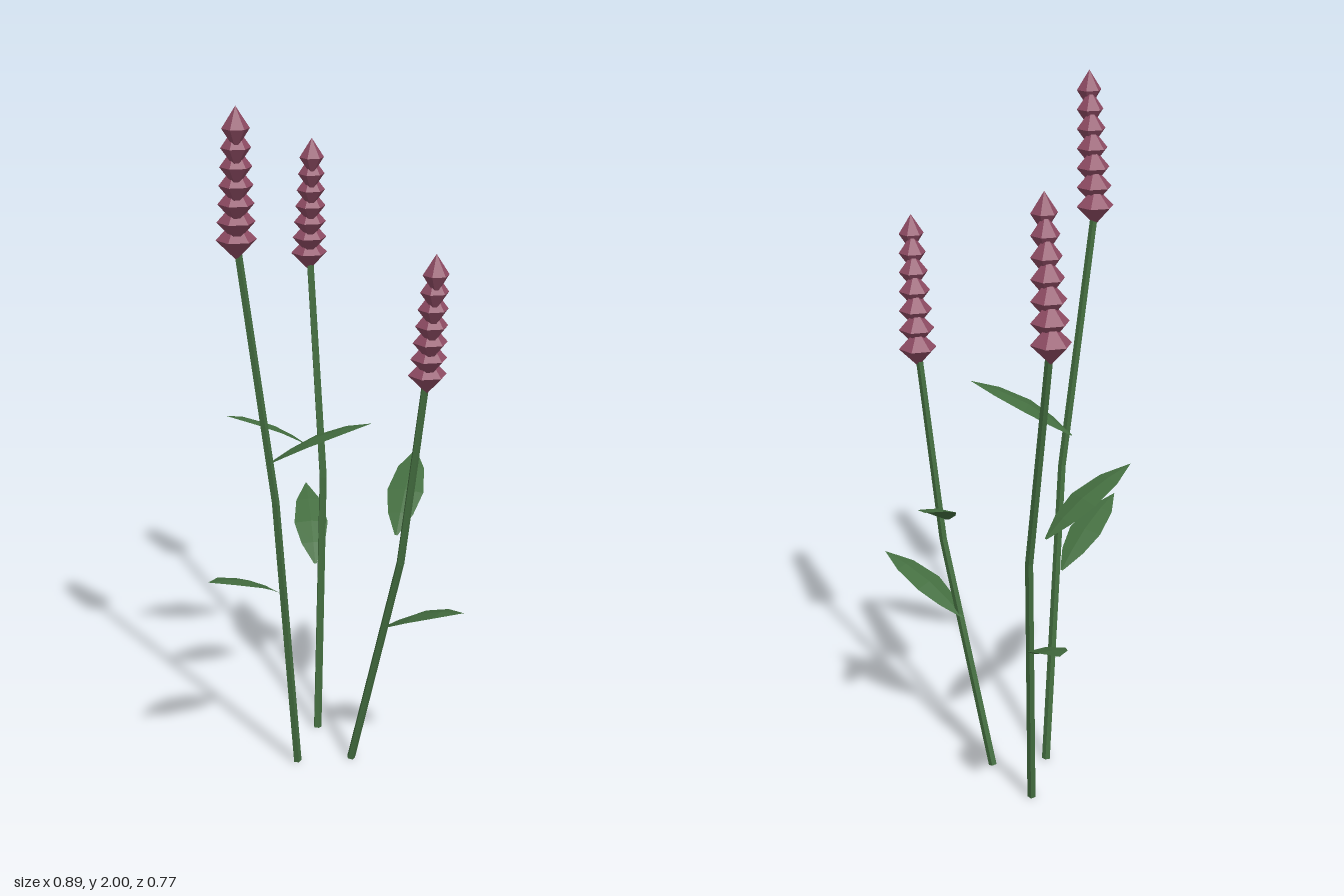
import * as THREE from 'three';

const green = new THREE.MeshStandardMaterial({ color: 0x446e40, flatShading: true });
const leafGreen = new THREE.MeshStandardMaterial({ color: 0x446e40, flatShading: true, side: THREE.DoubleSide });
const mauve = new THREE.MeshStandardMaterial({ color: 0x8f4c64, flatShading: true });
const UP = new THREE.Vector3(0, 1, 0);
const V = (p) => new THREE.Vector3(...p);

// Each plant: stem points, first and last blossom centres, and leaves as [base, tip]
const PLANTS = [
  {
    stem: [[-0.02, 0.003, 0.015], [0.045, 0.9, 0.145], [0.026, 1.63, 0.249]],
    flower: [[0.026, 1.645, 0.25], [0.11, 1.944, 0.311]],
    leaves: [[[0.012, 1.0, 0.15], [0.25, 1.148, -0.02]], [[0, 0.595, 0.098], [0.055, 0.735, 0.385]]],
  },
  {
    stem: [[-0.13, 0.003, -0.157], [-0.2, 0.8, -0.235], [-0.328, 1.44, -0.29]],
    flower: [[-0.331, 1.456, -0.29], [-0.247, 1.755, -0.229]],
    leaves: [[[-0.205, 0.52, -0.21], [-0.445, 0.67, -0.373]], [[-0.25, 0.885, -0.225], [-0.3, 1.033, 0.05]]],
  },
  {
    stem: [[0.07, 0.003, -0.12], [0.24, 0.7, -0.145], [0.303, 1.26, -0.165]],
    flower: [[0.306, 1.268, -0.165], [0.39, 1.567, -0.104]],
    leaves: [[[0.21, 0.772, -0.155], [0.038, 0.922, -0.39]], [[0.168, 0.468, -0.14], [0.445, 0.607, -0.195]]],
  },
];

// Straight tapered stem section between two points
function stemSection(a, b, r0, r1) {
  const d = b.clone().sub(a);
  const mesh = new THREE.Mesh(new THREE.CylinderGeometry(r1, r0, d.length(), 5), green);
  mesh.position.copy(a).addScaledVector(d, 0.5);
  mesh.quaternion.setFromUnitVectors(UP, d.normalize());
  mesh.name = 'stemSection';
  return mesh;
}

// Arched leaf blade with a slightly raised midrib
function leaf(base, tip) {
  const rows = [[0, 0.004], [0.22, 0.036], [0.46, 0.052], [0.75, 0.038], [1, 0]];
  const d = tip.clone().sub(base);
  const side = d.clone().cross(UP).normalize();
  const normal = side.clone().cross(d).normalize();
  const pos = [], index = [];
  rows.forEach(([t, w], i) => {
    for (const k of [-1, 0, 1]) {
      const lift = 0.022 * Math.sin(Math.PI * t) - (k ? w * 0.14 : 0);
      const p = base.clone().addScaledVector(d, t).addScaledVector(side, k * w).addScaledVector(normal, lift);
      pos.push(p.x, p.y, p.z);
    }
    if (i === 0) return;
    for (const k of [0, 1]) {
      const a = (i - 1) * 3 + k, b = a + 3;
      index.push(a, a + 1, b, a + 1, b + 1, b);
    }
  });
  const geo = new THREE.BufferGeometry();
  geo.setAttribute('position', new THREE.Float32BufferAttribute(pos, 3));
  geo.setIndex(index);
  geo.computeVertexNormals();
  const mesh = new THREE.Mesh(geo, leafGreen);
  mesh.name = 'leaf';
  return mesh;
}

// Spike of stacked six-sided blossoms that shrink towards the tip
function flowerSpike(from, to) {
  const spike = new THREE.Group();
  spike.name = 'flowerSpike';
  const count = 7;
  for (let i = 0; i < count; i++) {
    const t = i / (count - 1);
    const blossom = new THREE.Mesh(new THREE.SphereGeometry(1, 6, 2), mauve);
    const r = THREE.MathUtils.lerp(0.053, 0.035, t);
    blossom.scale.set(r, 0.054, r);
    blossom.position.lerpVectors(from, to, t);
    blossom.name = 'blossom';
    spike.add(blossom);
  }
  return spike;
}

export function createModel() {
  const model = new THREE.Group();
  model.name = 'flowerStems';
  for (const { stem, flower, leaves } of PLANTS) {
    const plant = new THREE.Group();
    plant.name = 'plant';
    const [a, b, c] = stem.map(V);
    plant.add(stemSection(a, b, 0.0125, 0.0115), stemSection(b, c, 0.0115, 0.0105));
    plant.add(flowerSpike(...flower.map(V)));
    for (const ends of leaves) plant.add(leaf(...ends.map(V)));
    model.add(plant);
  }
  return model;
}
